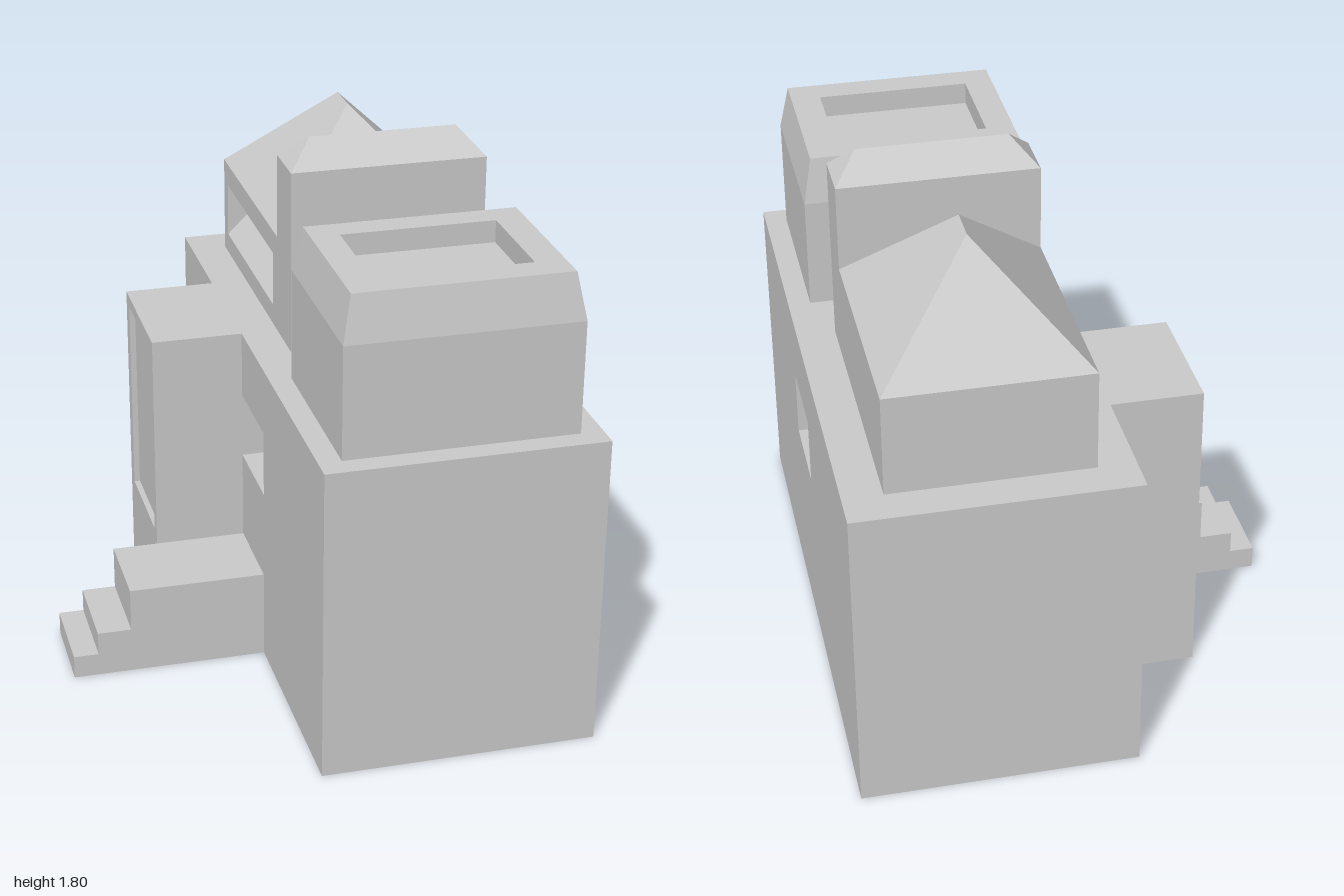
import * as THREE from 'three';

const material = new THREE.MeshStandardMaterial({ color: 0xcccccc, flatShading: true });

function add(group, name, geometry) {
  const mesh = new THREE.Mesh(geometry, material);
  mesh.name = name;
  group.add(mesh);
}

function block(x0, x1, y0, y1, z0, z1) {
  return new THREE.BoxGeometry(x1 - x0, y1 - y0, z1 - z0)
    .translate((x0 + x1) / 2, (y0 + y1) / 2, (z0 + z1) / 2);
}

// Side profile in x, y pulled along z
function profileAlongZ(points, z0, z1) {
  const shape = new THREE.Shape(points.map(([x, y]) => new THREE.Vector2(x, y)));
  return new THREE.ExtrudeGeometry(shape, { depth: z1 - z0, bevelEnabled: false }).translate(0, 0, z0);
}

// Wall with a rectangular opening through its x thickness; rectangles are [z0, z1, y0, y1]
function piercedWall(outer, hole, x0, x1) {
  const corners = ([z0, z1, y0, y1]) =>
    [[-z1, y0], [-z0, y0], [-z0, y1], [-z1, y1]].map(([x, y]) => new THREE.Vector2(x, y));
  const shape = new THREE.Shape(corners(outer));
  shape.holes.push(new THREE.Path(corners(hole).reverse()));
  return new THREE.ExtrudeGeometry(shape, { depth: x1 - x0, bevelEnabled: false })
    .rotateY(Math.PI / 2).translate(x0, 0, 0);
}

// Skin over a series of rectangles [x0, x1, z0, z1, y], closed at both ends
function loftRectangles(rects) {
  const rings = rects.map(([x0, x1, z0, z1, y]) =>
    [[x0, z1], [x1, z1], [x1, z0], [x0, z0]].map(([x, z]) => new THREE.Vector3(x, y, z)));
  const positions = [];
  const tri = (a, b, c) => {
    if (new THREE.Triangle(a, b, c).getArea() > 1e-7) {
      for (const p of [a, b, c]) positions.push(p.x, p.y, p.z);
    }
  };
  const quad = (a, b, c, d) => { tri(a, b, c); tri(a, c, d); };
  for (let i = 0; i + 1 < rings.length; i++) {
    for (let j = 0; j < 4; j++) {
      const k = (j + 1) % 4;
      quad(rings[i][j], rings[i][k], rings[i + 1][k], rings[i + 1][j]);
    }
  }
  quad(...rings[rings.length - 1]);
  quad(...[...rings[0]].reverse());
  const geometry = new THREE.BufferGeometry();
  geometry.setAttribute('position', new THREE.Float32BufferAttribute(positions, 3));
  geometry.computeVertexNormals();
  return geometry;
}

export function createModel() {
  const model = new THREE.Group();
  model.name = 'building';

  // Main hall with a window passing right through
  add(model, 'mainHall', piercedWall([-1, 1, 0, 1.08], [-0.08, 0.23, 0.62, 0.85], -0.13, 0.79));

  // Side annex with a shallow recessed panel
  add(model, 'annex', block(-0.42, -0.13, 0, 1.08, -0.54, -0.08));
  add(model, 'annexPanelFrame',
    piercedWall([-0.54, -0.08, 0, 1.08], [-0.49, -0.12, 0.35, 1.04], -0.44, -0.42));

  // Entrance steps
  add(model, 'steps', profileAlongZ([
    [-0.795, 0], [-0.13, 0], [-0.13, 0.31], [-0.595, 0.31],
    [-0.595, 0.16], [-0.71, 0.16], [-0.71, 0.08], [-0.795, 0.08],
  ], -0.08, 0.225));

  // Front tower: straight walls, tapered parapet and sunken deck
  add(model, 'frontTower', loftRectangles([
    [-0.055, 0.715, 0.31, 0.925, 1.08],
    [-0.055, 0.715, 0.31, 0.925, 1.46],
    [-0.025, 0.685, 0.335, 0.895, 1.615],
    [0.07, 0.585, 0.43, 0.795, 1.615],
    [0.07, 0.585, 0.43, 0.795, 1.54],
  ]));

  // Middle wall with a hipped cap
  add(model, 'middleWall', loftRectangles([
    [-0.005, 0.66, -0.08, 0.105, 1.08],
    [-0.005, 0.66, -0.08, 0.105, 1.71],
    [0.08, 0.58, 0.012, 0.012, 1.797],
  ]));

  // Rear house: solid ends and a long side opening with a sloping sill
  add(model, 'rearHouseBackEnd', block(-0.005, 0.66, 1.08, 1.42, -0.875, -0.82));
  add(model, 'rearHouseFrontEnd', block(-0.005, 0.66, 1.08, 1.42, -0.14, -0.08));
  add(model, 'rearHouseOpening', profileAlongZ([
    [-0.005, 1.08], [0.66, 1.08], [0.66, 1.42], [-0.005, 1.42], [-0.005, 1.34],
    [0.3, 1.34], [0.3, 1.24], [0.085, 1.24], [-0.005, 1.15],
  ], -0.82, -0.14));

  // Hipped roof of the rear house
  add(model, 'rearRoof', loftRectangles([
    [-0.005, 0.66, -0.875, -0.08, 1.42],
    [0.3275, 0.3275, -0.54, -0.413, 1.755],
  ]));

  return model;
}
